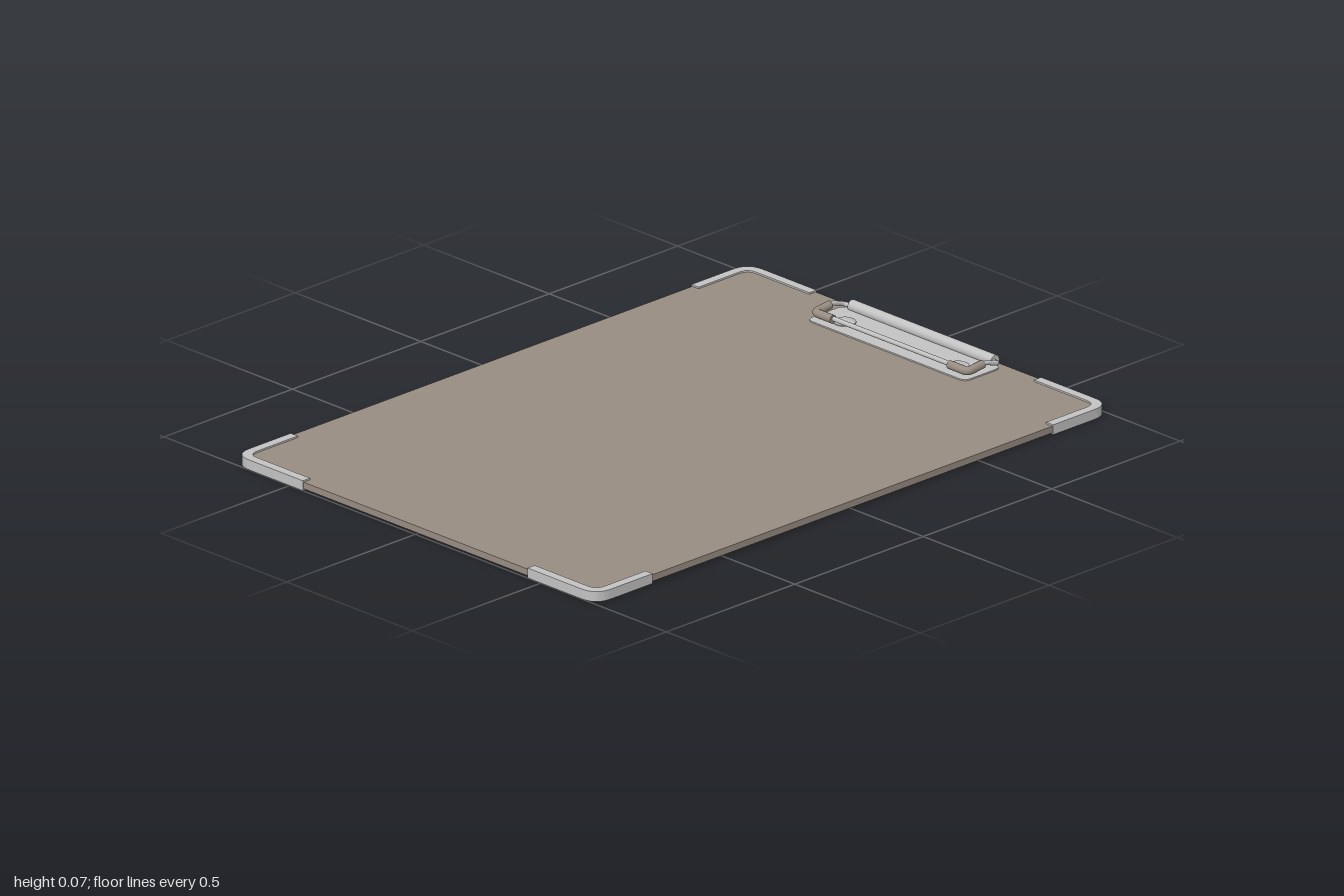
import * as THREE from 'three';
import { toCreasedNormals } from 'three/addons/utils/BufferGeometryUtils.js';

const material = (name, color, side = THREE.FrontSide) => {
  const m = new THREE.MeshStandardMaterial({ color, side });
  m.name = name;
  return m;
};

// Flat shape drawn in (x, z), lying between y = bottom and y = top
function slab(shape, bottom, top) {
  const g = new THREE.ExtrudeGeometry(shape, { depth: top - bottom, bevelEnabled: false, curveSegments: 10 });
  g.rotateX(Math.PI / 2).translate(0, top, 0);
  return toCreasedNormals(g, 0.6);
}

function roundedRect(x0, x1, z0, z1, r) {
  const s = new THREE.Shape();
  s.moveTo(x0 + r, z0).lineTo(x1 - r, z0).quadraticCurveTo(x1, z0, x1, z0 + r);
  s.lineTo(x1, z1 - r).quadraticCurveTo(x1, z1, x1 - r, z1);
  s.lineTo(x0 + r, z1).quadraticCurveTo(x0, z1, x0, z1 - r);
  s.lineTo(x0, z0 + r).quadraticCurveTo(x0, z0, x0 + r, z0);
  return s;
}

// L-shaped edge guard for the corner in direction (sx, sz)
function guardShape(sx, sz) {
  const X = 0.72, Z = 1, w = 0.028, r = 0.06, ri = 0.034;
  const s = new THREE.Shape();
  const line = (x, z) => s.lineTo(sx * x, sz * z);
  const bend = (cx, cz, x, z) => s.quadraticCurveTo(sx * cx, sz * cz, sx * x, sz * z);
  s.moveTo(sx * 0.447, sz * Z);
  line(X - r, Z);
  bend(X, Z, X, Z - r);
  line(X, 0.78);
  line(X - w, 0.78);
  line(X - w, Z - w - ri);
  bend(X - w, Z - w, X - w - ri, Z - w);
  line(0.447, Z - w);
  s.closePath();
  return s;
}

// Path of straight runs with softened corners
function bentPath(points, r) {
  const path = new THREE.CurvePath();
  const p = points.map((a) => new THREE.Vector3(...a));
  let start = p[0];
  for (let i = 1; i < p.length - 1; i++) {
    const a = p[i].clone().add(p[i - 1].clone().sub(p[i]).setLength(r));
    const b = p[i].clone().add(p[i + 1].clone().sub(p[i]).setLength(r));
    path.add(new THREE.LineCurve3(start, a));
    path.add(new THREE.QuadraticBezierCurve3(a, p[i], b));
    start = b;
  }
  path.add(new THREE.LineCurve3(start, p[p.length - 1]));
  return path;
}

export function createModel() {
  const model = new THREE.Group();
  model.name = 'clipboard';
  const brown = material('brown board', 0x988c81);
  const metal = material('silver metal', 0xc2c2c2);

  const add = (name, geometry, mat, parent = model) => {
    const mesh = new THREE.Mesh(geometry, mat);
    mesh.name = name;
    parent.add(mesh);
    return mesh;
  };

  // Board with metal corner guards
  add('board', slab(roundedRect(-0.717, 0.717, -0.997, 0.997, 0.06), 0.005, 0.025), brown);
  for (const sx of [-1, 1]) for (const sz of [-1, 1]) {
    add('cornerGuard', slab(guardShape(sx, sz), 0, 0.03), metal);
  }

  const clip = new THREE.Group();
  clip.name = 'clip';
  model.add(clip);

  // Base plate and the sheet rolled round the wire at the back edge
  add('clipPlate', slab(roundedRect(-0.315, 0.315, -0.975, -0.832, 0.025), 0.024, 0.029), metal, clip);
  const roll = new THREE.CylinderGeometry(0.017, 0.017, 0.57, 20);
  roll.rotateZ(Math.PI / 2).translate(0, 0.038, -0.979);
  add('hingeRoll', roll, metal, clip);
  add('hingeFoot', new THREE.BoxGeometry(0.57, 0.014, 0.03), metal, clip).position.set(0, 0.03, -0.98);

  // Wire bail: out of the roll, up along both sides and across the front
  const bail = bentPath([
    [-0.27, 0.038, -0.973], [-0.306, 0.038, -0.973], [-0.306, 0.056, -0.92], [-0.306, 0.048, -0.856],
    [0.306, 0.048, -0.856], [0.306, 0.056, -0.92], [0.306, 0.038, -0.973], [0.27, 0.038, -0.973],
  ], 0.016);
  add('wireBail', new THREE.TubeGeometry(bail, 240, 0.007, 10), metal, clip);

  for (const s of [-1, 1]) {
    // Soft grip over each front corner of the wire
    const grip = bentPath([[s * 0.304, 0.053, -0.912], [s * 0.304, 0.047, -0.854], [s * 0.232, 0.047, -0.854]], 0.014);
    add('grip', new THREE.TubeGeometry(grip, 40, 0.0125, 14), brown, clip);
    for (const t of [0, 1]) {
      const cap = add('gripEnd', new THREE.CircleGeometry(0.0125, 14), brown, clip);
      const at = grip.getPointAt(t), dir = grip.getTangentAt(t).multiplyScalar(t ? 1 : -1);
      cap.position.copy(at);
      cap.lookAt(at.clone().add(dir));
    }

    // Rivet: domed head above, small stud end below
    const head = new THREE.LatheGeometry(
      [[0.032, 0], [0.032, 0.003], [0.024, 0.007], [0, 0.009]].map(([x, y]) => new THREE.Vector2(x, y)), 28);
    add('rivetHead', toCreasedNormals(head, 0.6), metal, clip).position.set(s * 0.225, 0.029, -0.893);
    add('rivetEnd', new THREE.CylinderGeometry(0.022, 0.02, 0.006, 24), metal, clip).position.set(s * 0.225, 0.004, -0.893);
  }
  return model;
}
